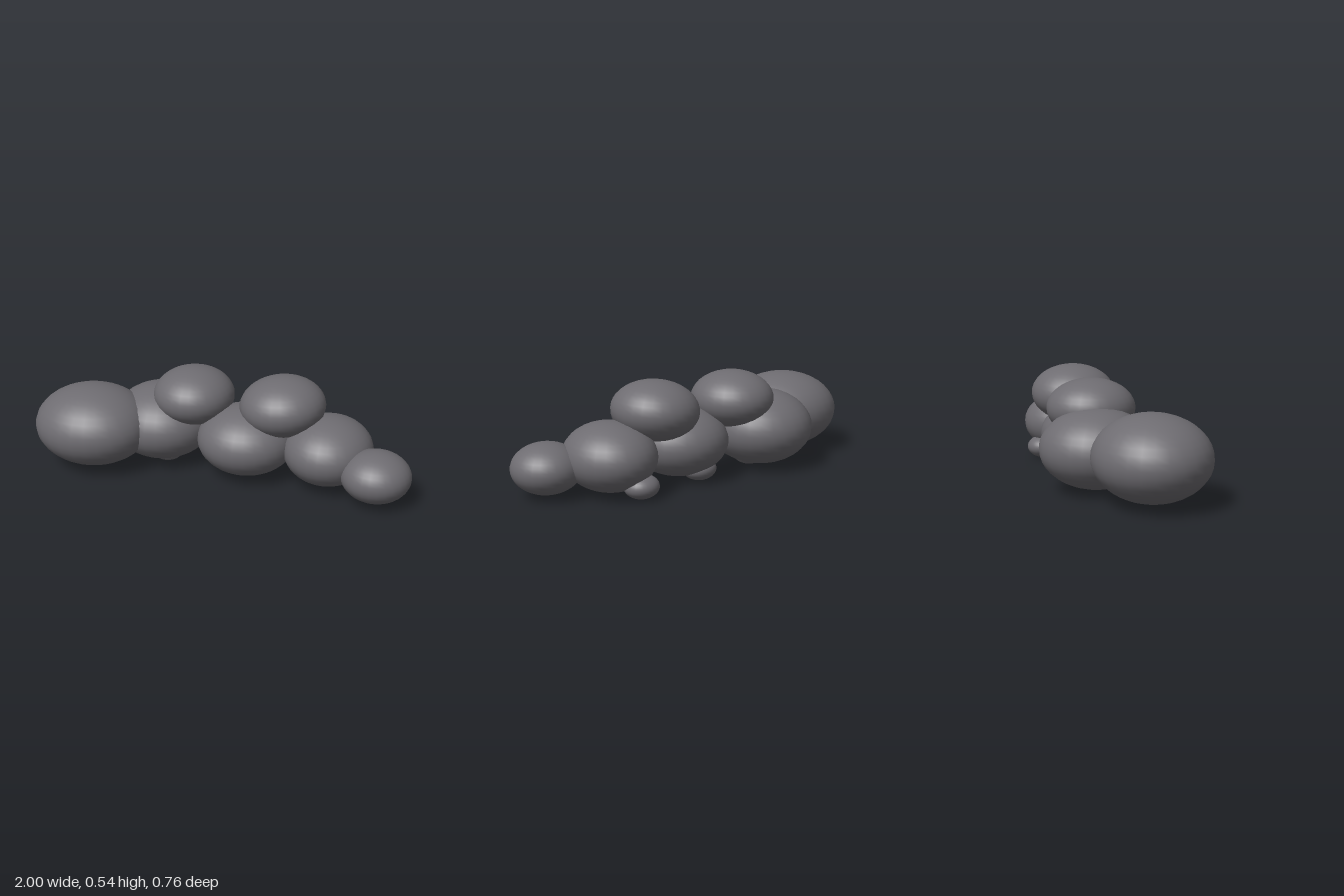
import * as THREE from 'three';

// name, centre [x, y, z], radii [x, y, z], tilt about z
const PUFFS = [
  ['endPuffLarge', [-0.69, 0.226, 0.092], [0.31, 0.208, 0.285], 0],
  ['basePuffRight', [-0.37, 0.215, -0.1], [0.275, 0.197, 0.28], 0],
  ['basePuffMiddle', [0.115, 0.197, -0.04], [0.257, 0.178, 0.25], 0],
  ['basePuffLeft', [0.545, 0.19, -0.062], [0.23, 0.172, 0.25], 0],
  ['endPuffSmall', [0.82, 0.146, 0.07], [0.177, 0.127, 0.175], 0],
  ['topPuffRight', [-0.19, 0.385, -0.09], [0.212, 0.147, 0.222], 0],
  ['topPuffLeft', [0.292, 0.388, -0.087], [0.222, 0.152, 0.223], 0.08],
  ['underPuffRight', [-0.335, 0.062, -0.06], [0.09, 0.06, 0.085], 0],
  ['underPuffMiddle', [0.06, 0.062, -0.14], [0.09, 0.06, 0.085], 0],
  ['underPuffLeft', [0.47, 0.062, -0.225], [0.09, 0.06, 0.085], 0],
];

export function createModel() {
  const cloud = new THREE.Group();
  cloud.name = 'cloud';
  const stormGrey = new THREE.MeshStandardMaterial({ color: 0x6e6c71 });
  stormGrey.name = 'stormGrey';

  // Every puff is one smooth ball, stretched to its own radii
  const ball = new THREE.SphereGeometry(1, 28, 20);
  for (const [name, centre, radii, tilt] of PUFFS) {
    const puff = new THREE.Mesh(ball, stormGrey);
    puff.name = name;
    puff.position.set(...centre);
    puff.scale.set(...radii);
    puff.rotation.z = tilt;
    cloud.add(puff);
  }
  return cloud;
}
